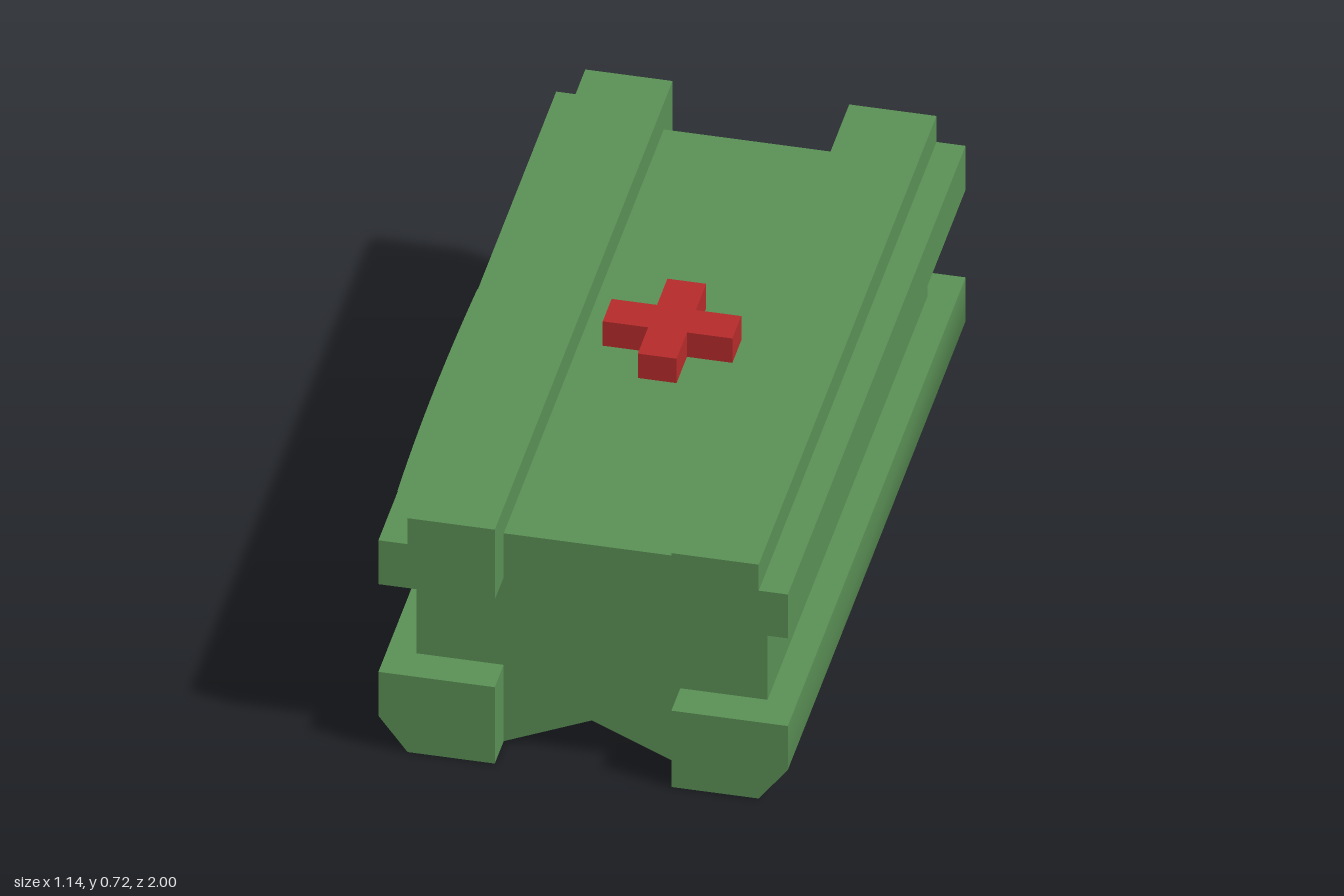
import * as THREE from 'three';
import { toCreasedNormals } from 'three/addons/utils/BufferGeometryUtils.js';

const green = new THREE.MeshStandardMaterial({ color: 0x5a8f55 });
const greenThin = new THREE.MeshStandardMaterial({ color: 0x5a8f55, side: THREE.DoubleSide });
const red = new THREE.MeshStandardMaterial({ color: 0xb52a2a });
const CX = 0.0425; // centre line of the hull

const toShape = (pts) => new THREE.Shape(pts.map(([x, y]) => new THREE.Vector2(x, y)));

// Extrude a front profile along z, centred on z = 0
function bar(name, pts, length) {
  const geo = new THREE.ExtrudeGeometry(toShape(pts), { depth: length, bevelEnabled: false });
  geo.translate(0, 0, -length / 2);
  const mesh = new THREE.Mesh(toCreasedNormals(geo, 1.0), green);
  mesh.name = name;
  return mesh;
}

export function createModel() {
  const model = new THREE.Group();
  model.name = 'container';

  // Main body with a V-shaped groove underneath
  const half = [[0.4525, 0.64], [0.4525, 0.1], [0.2275, 0.1], [0.2275, 0]];
  const body = [...half, [0, 0.1], ...half.map(([x, y]) => [-x, y]).reverse()];
  model.add(bar('body', body.map(([x, y]) => [CX + x, y]), 1.8));

  // Four full-length corner rails, mirrored about the centre line
  const upper = [[0.2275, 0.505], [0.5275, 0.505], [0.5275, 0.64], [0.4525, 0.64], [0.4525, 0.72], [0.2275, 0.72]];
  const lower = [[0.2275, 0], [0.4525, 0], [0.5275, 0.1], [0.5275, 0.235], [0.2275, 0.235]];
  for (const [s, side] of [[1, 'left'], [-1, 'right']]) {
    const place = (pts) => pts.map(([x, y]) => [CX + s * x, y]);
    model.add(bar(side + 'UpperRail', place(upper), 2));
    model.add(bar(side + 'LowerRail', place(lower), 2));
  }

  // Red cross running through the body from top to bottom
  const a = 0.167, b = 0.05;
  const outline = [[a, -b], [a, b], [b, b], [b, a], [-b, a], [-b, b], [-a, b], [-a, -b], [-b, -b], [-b, -a], [b, -a], [b, -b]];
  const crossGeo = new THREE.ExtrudeGeometry(toShape(outline), { depth: 0.69, bevelEnabled: false });
  crossGeo.rotateX(-Math.PI / 2);
  const cross = new THREE.Mesh(crossGeo, red);
  cross.name = 'cross';
  cross.position.set(CX, 0.025, 0);
  model.add(cross);

  // Thin shelf with a slightly bowed edge in the right side recess
  const shelfShape = new THREE.Shape();
  shelfShape.moveTo(-0.41, 0.45);
  shelfShape.lineTo(-0.562, 0.45);
  shelfShape.quadraticCurveTo(-0.578, 0, -0.562, -0.45);
  shelfShape.lineTo(-0.41, -0.45);
  const shelfGeo = new THREE.ShapeGeometry(shelfShape);
  shelfGeo.rotateX(-Math.PI / 2);
  const shelf = new THREE.Mesh(shelfGeo, greenThin);
  shelf.name = 'sideShelf';
  shelf.position.y = 0.4;
  model.add(shelf);

  return model;
}
